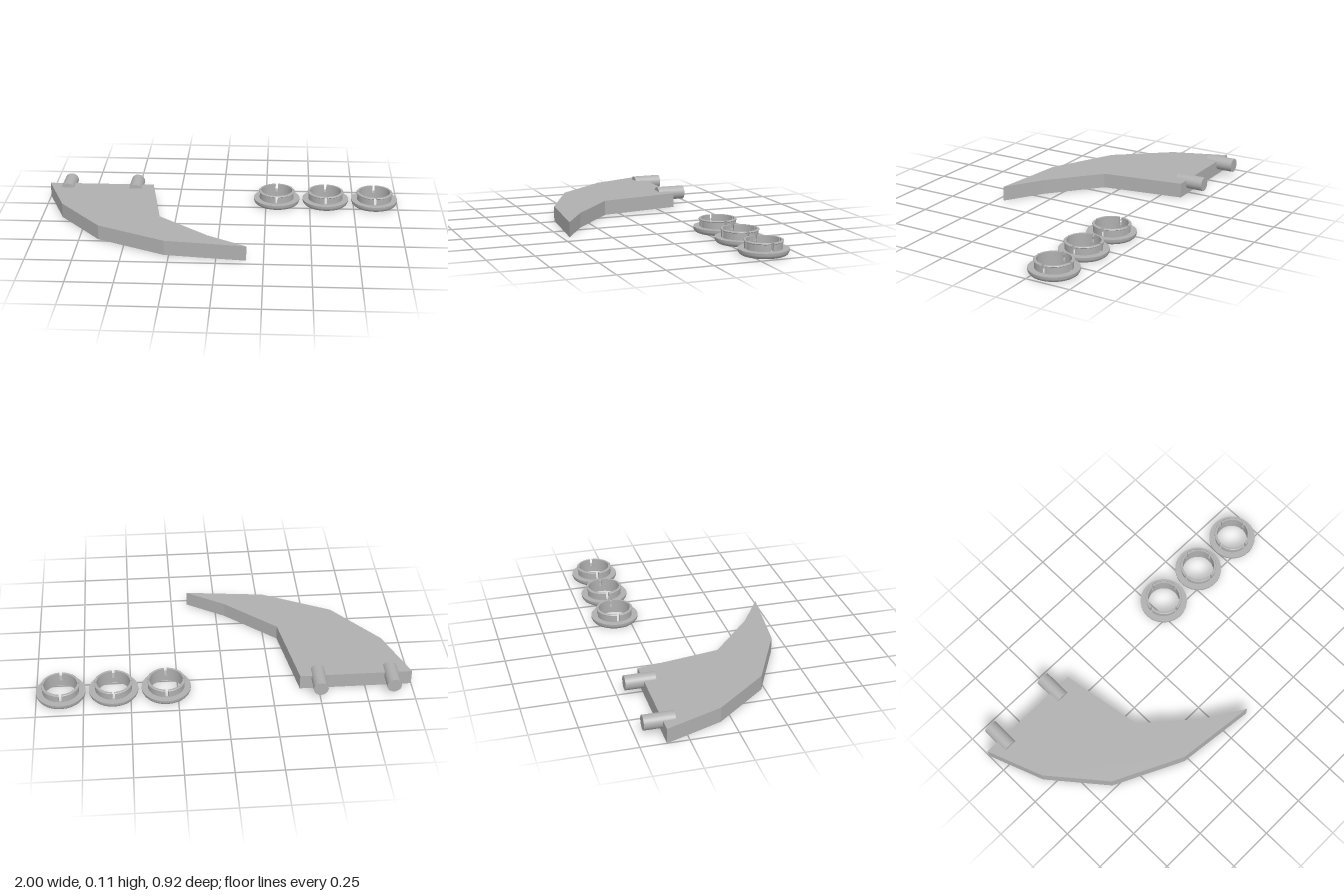
import * as THREE from 'three';
import { mergeGeometries, toCreasedNormals } from 'three/addons/utils/BufferGeometryUtils.js';

const vecs = (pts) => pts.map(([x, y]) => new THREE.Vector2(x, y));

// Closed (radius, height) profile swept around y, with sharp edges kept
function sweep(profile, start = 0, length = Math.PI * 2, segments = 64) {
  const lathe = new THREE.LatheGeometry(vecs([...profile, profile[0]]), segments, start, length);
  return toCreasedNormals(lathe, 0.5);
}

// Flat end of a partial sweep; side +1 closes its start, -1 its end
function endCap(profile, angle, side) {
  const cap = new THREE.ShapeGeometry(new THREE.Shape(vecs(profile.map(([r, y]) => [r * side, y]))));
  cap.rotateY(angle - side * Math.PI / 2);
  return cap.toNonIndexed();
}

export function createModel() {
  const model = new THREE.Group();
  model.name = 'bladeAndClips';
  const grey = new THREE.MeshStandardMaterial({ color: 0xb0b0b0 });
  grey.name = 'grey';

  const add = (parent, name, geometry) => {
    const mesh = new THREE.Mesh(geometry, grey);
    mesh.name = name;
    parent.add(mesh);
    return mesh;
  };

  // Curved flat blade, outline in x and z
  const outline = [
    [-1, -0.365], [-0.4, -0.365], [-0.325, 0.09], [-0.05, 0.33],
    [0.16, 0.46], [-0.275, 0.41], [-0.645, 0.23], [-0.885, -0.06],
  ];
  const blade = new THREE.ExtrudeGeometry(
    new THREE.Shape(vecs(outline.map(([x, z]) => [x, -z]))),
    { depth: 0.082, bevelEnabled: false });
  blade.rotateX(-Math.PI / 2);
  add(model, 'blade', blade);

  // Two pegs lying in the back edge
  for (const x of [-0.89, -0.5]) {
    const peg = add(model, 'peg', new THREE.CylinderGeometry(0.039, 0.039, 0.162, 40));
    peg.rotation.x = Math.PI / 2;
    peg.position.set(x, 0.066, -0.38);
  }

  // Flange with a rounded underside
  const flangeProfile = [[0.088, 0.033], [0.088, 0], [0.105, 0]];
  for (let i = 1; i <= 6; i++) {
    const a = (i / 6) * Math.PI / 2;
    flangeProfile.push([0.105 + 0.026 * Math.sin(a), 0.027 * (1 - Math.cos(a))]);
  }
  flangeProfile.push([0.131, 0.033]);
  const flange = sweep(flangeProfile);

  // Collar with a snap lip, split by four slots
  const collarProfile = [
    [0.088, 0.032], [0.0975, 0.032], [0.0975, 0.068], [0.102, 0.071],
    [0.102, 0.074], [0.099, 0.077], [0.088, 0.077],
  ];
  const gap = 0.15;
  const pieces = [];
  for (let k = 0; k < 4; k++) {
    const start = k * Math.PI / 2 + gap / 2;
    const length = Math.PI / 2 - gap;
    pieces.push(
      sweep(collarProfile, start, length, 16),
      endCap(collarProfile, start, 1),
      endCap(collarProfile, start + length, -1));
  }
  const collar = mergeGeometries(pieces);

  // Row of three snap clips
  for (const x of [0.311, 0.59, 0.869]) {
    const clip = new THREE.Group();
    clip.name = 'snapClip';
    add(clip, 'flange', flange);
    add(clip, 'slottedCollar', collar);
    clip.position.set(x, 0, -0.329);
    model.add(clip);
  }
  return model;
}
